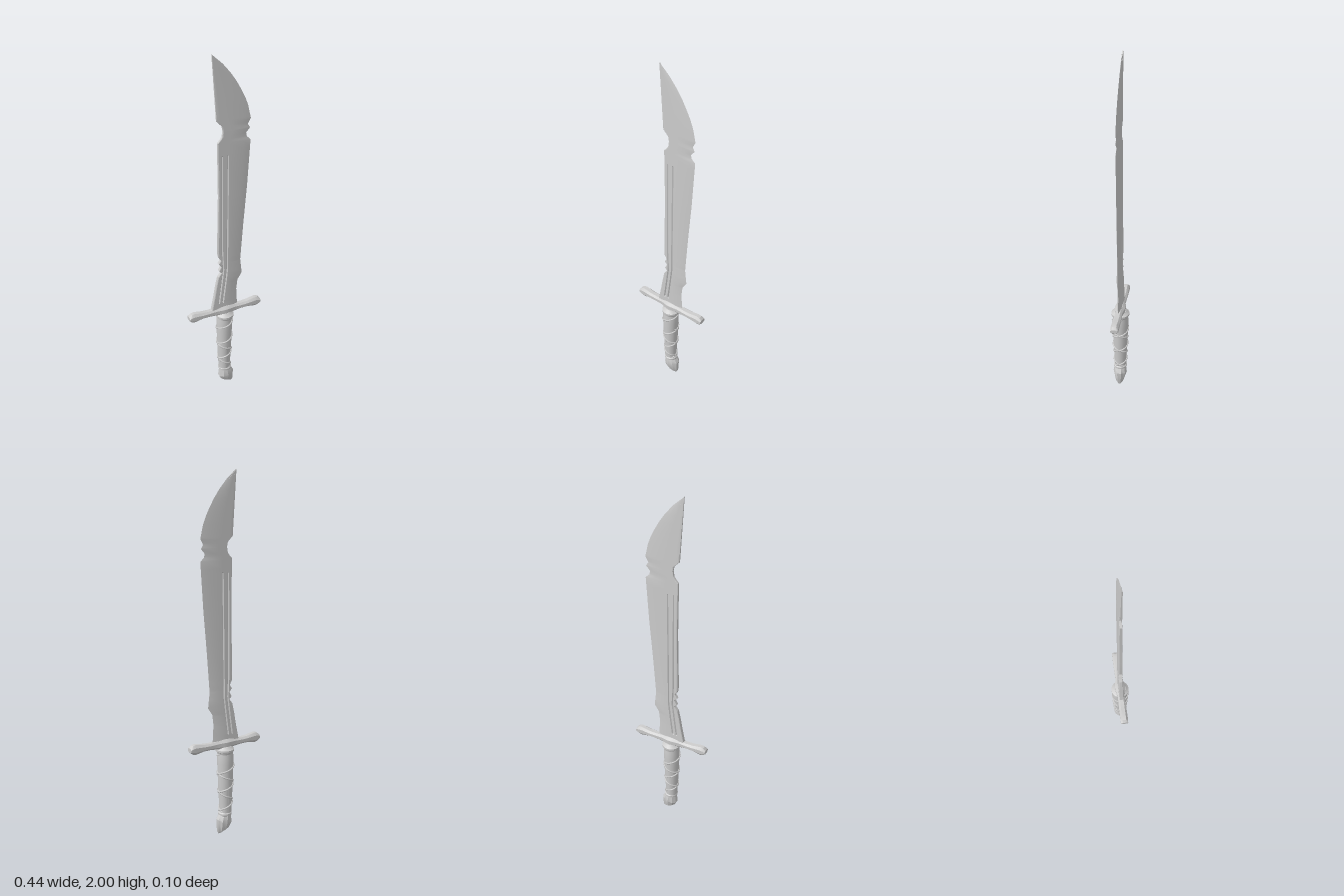
import * as THREE from 'three';
import { toCreasedNormals } from 'three/addons/utils/BufferGeometryUtils.js';

const steel = new THREE.MeshStandardMaterial({ color: 0xcccccc });
steel.name = 'light grey';

// Linear lookup in a table of [position, value] pairs
function at(table, p) {
  if (p <= table[0][0]) return table[0][1];
  for (let i = 1; i < table.length; i++) {
    const [p0, v0] = table[i - 1], [p1, v1] = table[i];
    if (p <= p1) return v0 + (v1 - v0) * (p - p0) / (p1 - p0);
  }
  return table[table.length - 1][1];
}

// Skin a list of rings (arrays of [x, y, z]) and cap both ends
function loft(rings, crease) {
  const n = rings[0].length, pos = [], idx = [];
  rings.forEach((r) => r.forEach((p) => pos.push(...p)));
  for (let i = 0; i < rings.length - 1; i++) {
    for (let j = 0; j < n; j++) {
      const a = i * n + j, b = i * n + (j + 1) % n;
      idx.push(a, b, a + n, b, b + n, a + n);
    }
  }
  [0, rings.length - 1].forEach((i) => {
    const c = pos.length / 3;
    const mid = [0, 1, 2].map((k) => rings[i].reduce((s, p) => s + p[k], 0) / n);
    pos.push(...mid);
    for (let j = 0; j < n; j++) {
      const a = i * n + j, b = i * n + (j + 1) % n;
      if (i) idx.push(c, a, b); else idx.push(c, b, a);
    }
  });
  const g = new THREE.BufferGeometry();
  g.setAttribute('position', new THREE.Float32BufferAttribute(pos, 3));
  g.setIndex(idx);
  return toCreasedNormals(g, crease);
}

function add(group, name, geometry) {
  const m = new THREE.Mesh(geometry, steel);
  m.name = name;
  group.add(m);
}

// Blade outline as [y, x]: notched spine and cutting edge
const SPINE = [[0.54, -0.085], [0.64, -0.065], [0.70, -0.055], [0.76, -0.042], [0.785, -0.024], [0.80, -0.038],
  [0.825, -0.024], [0.845, -0.040], [0.865, -0.026], [0.89, -0.040], [0.925, -0.042], [1.25, -0.036], [1.55, -0.040],
  [1.565, -0.026], [1.58, -0.015], [1.61, -0.010], [1.635, -0.015], [1.65, -0.030], [1.665, -0.045], [2, -0.068]];
const EDGE = [[0.54, 0.079], [0.65, 0.073], [0.71, 0.080], [0.75, 0.106], [0.84, 0.096], [1.06, 0.112], [1.285, 0.131],
  [1.54, 0.147], [1.56, 0.125], [1.58, 0.121], [1.605, 0.143], [1.625, 0.130], [1.655, 0.146], [1.725, 0.130],
  [1.77, 0.112], [1.81, 0.091], [1.855, 0.065], [1.90, 0.033], [1.95, -0.010], [2, -0.067]];
const THICK = [[0.54, 0.0125], [0.9, 0.010], [1.6, 0.007], [2, 0.003]];
const GROOVES = [
  [[0.58, -0.040], [0.72, -0.022], [0.80, -0.012], [0.92, -0.018], [1.5, -0.017]],
  [[0.58, -0.016], [0.72, 0.002], [0.80, 0.011], [0.92, 0.012], [1.5, 0.017]],
];

function bladeGeometry() {
  const ys = new Set([0.585, 0.59, 0.92, 1.475, 1.48, 1.5]);
  [...SPINE, ...EDGE].forEach(([y]) => ys.add(y));
  const rings = [...ys].sort((a, b) => a - b).map((y) => {
    const xl = at(SPINE, y), xr = at(EDGE, y), w = xr - xl, t = at(THICK, y);
    const cut = y > 0.587 && y < 1.478 ? 0.55 : 0;
    // one face, spine to bevel: [x, half thickness]
    const face = [[xl, t * 0.8], [xl + Math.min(0.004, w * 0.03), t]];
    GROOVES.forEach((g, k) => {
      const x = y > 1.5 ? xl + w * (0.13 + 0.18 * k) : at(g, y);
      const h = Math.min(0.005, w * 0.05);
      face.push([x - h, t], [x, t * (1 - cut)], [x + h, t]);
    });
    face.push([xr - Math.min(0.042, w * 0.27), t * 0.9]);
    return [
      ...face.map(([x, z]) => [x, y, z]),
      [xr, y, 0],
      ...face.reverse().map(([x, z]) => [x, y, -z]),
    ];
  });
  return loft(rings, 0.3);
}

// Crossguard: chamfered sections [x, centre y, half height, half depth]
function guardGeometry() {
  const half = [[0, 0.533, 0.027, 0.030], [0.02, 0.533, 0.026, 0.028], [0.055, 0.532, 0.022, 0.020],
    [0.10, 0.533, 0.018, 0.021], [0.14, 0.534, 0.019, 0.022], [0.19, 0.534, 0.028, 0.022], [0.208, 0.534, 0.024, 0.022],
    [0.222, 0.534, 0.011, 0.021]];
  const all = [...half.slice(1).reverse().map(([x, ...r]) => [-x, ...r]), ...half];
  const corners = [[1, -0.5], [1, 0.5], [0.45, 1], [-0.45, 1], [-1, 0.5], [-1, -0.5], [-0.45, -1], [0.45, -1]];
  return loft(all.map(([x, cy, h, d]) => corners.map(([v, u]) => [x, cy + v * h, u * d])), 0.5);
}

// Round section between x0 and x1, tilted from yl (right side) to yr (left side)
function oval(x0, x1, yl, yr, hz, n) {
  return Array.from({ length: n }, (_, j) => {
    const a = (j / n) * Math.PI * 2, s = Math.sin(a);
    return [(x0 + x1) / 2 + s * (x1 - x0) / 2, (yl + yr) / 2 + s * (yr - yl) / 2, Math.cos(a) * hz];
  });
}
const round = (y, r, cx = -0.003) => oval(cx - r, cx + r, y, y, r, 20);

const GRIP = [[0.11, 0.034], [0.15, 0.035], [0.20, 0.037], [0.26, 0.040], [0.31, 0.042], [0.36, 0.043],
  [0.42, 0.046], [0.46, 0.045], [0.495, 0.042]];

// Cord wound around the grip
function cordGeometry(dir, y0, y1, pitch) {
  const pts = [];
  for (let i = 0; i <= 90; i++) {
    const y = y0 + (y1 - y0) * i / 90;
    const a = Math.PI / 2 + dir * (y - 0.14) / pitch * Math.PI * 2, r = at(GRIP, y) + 0.001;
    pts.push(new THREE.Vector3(-0.003 + Math.sin(a) * r, y, Math.cos(a) * r));
  }
  return new THREE.TubeGeometry(new THREE.CatmullRomCurve3(pts), 180, 0.005, 6);
}

export function createModel() {
  const sword = new THREE.Group();
  sword.name = 'sword';

  add(sword, 'blade', bladeGeometry());
  add(sword, 'crossguard', guardGeometry());

  // Handle
  add(sword, 'grip', loft(GRIP.map(([y, r]) => round(y, r)), 0.6));
  add(sword, 'collar', loft([[0.478, 0.044], [0.488, 0.047], [0.492, 0.052], [0.503, 0.052], [0.507, 0.046],
    [0.52, 0.034]].map(([y, r]) => round(y, r, 0)), 0.5));
  add(sword, 'lowerRing', loft([[0.108, 0.034], [0.112, 0.039], [0.122, 0.039], [0.127, 0.034]]
    .map(([y, r]) => round(y, r, 0)), 0.5));
  add(sword, 'cord', cordGeometry(1, 0.13, 0.475, 0.11));
  add(sword, 'crossingCord', cordGeometry(-1, 0.13, 0.37, 0.11));

  // Slanted pommel, from its foot upwards
  add(sword, 'pommel', loft([
    oval(0.005, 0.044, 0.018, 0, 0.012, 10),
    oval(-0.030, 0.050, 0.038, 0.012, 0.026, 10),
    oval(-0.040, 0.052, 0.058, 0.085, 0.040, 10),
    oval(-0.034, 0.038, 0.105, 0.108, 0.035, 10),
    oval(-0.033, 0.033, 0.115, 0.115, 0.033, 10),
  ], 0.5));

  return sword;
}
